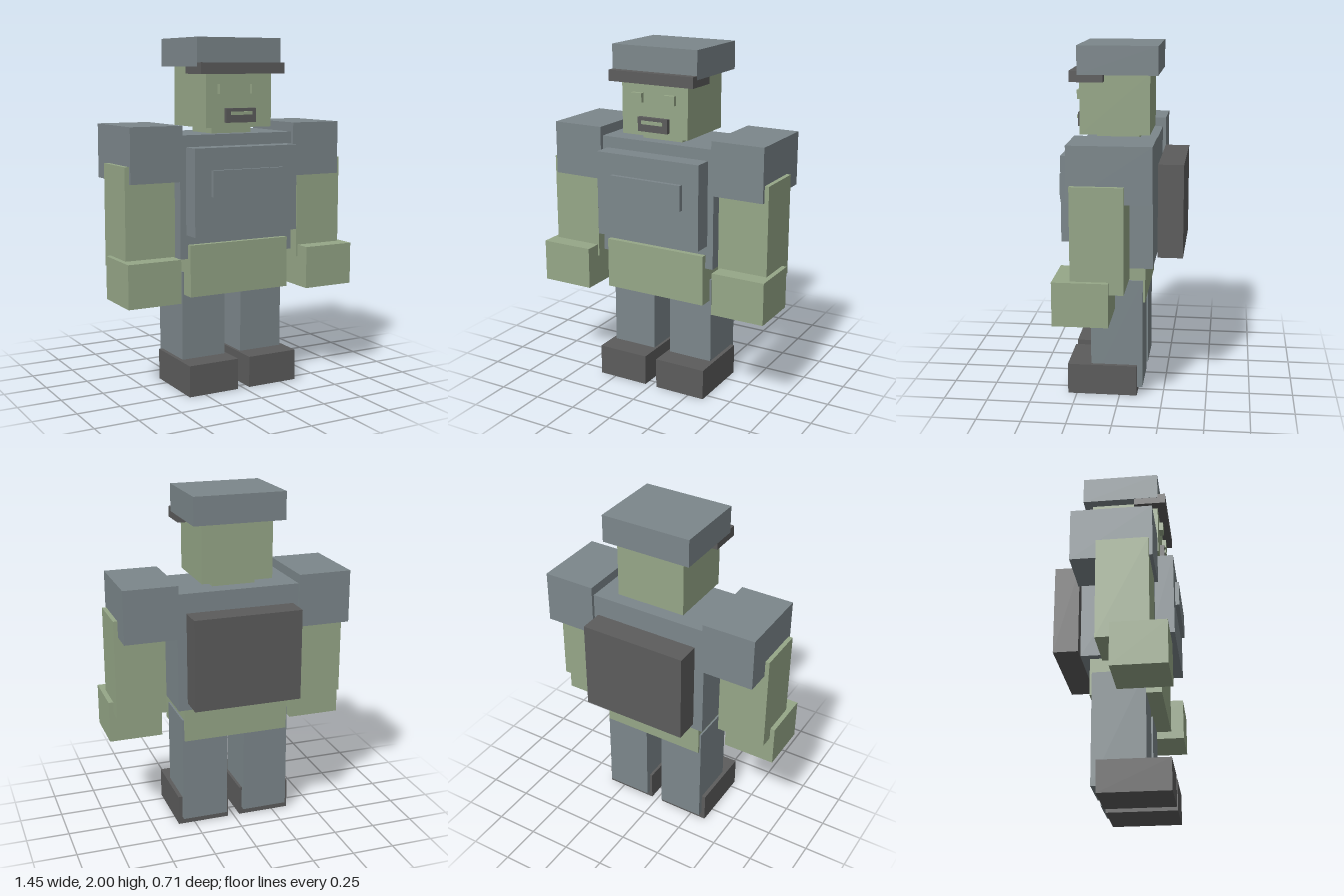
import * as THREE from 'three';

function material(name, color) {
  const m = new THREE.MeshStandardMaterial({ color });
  m.name = name;
  return m;
}

export function createModel() {
  const model = new THREE.Group();
  model.name = 'blockSoldier';

  const cloth = material('slateCloth', 0x7c878b);
  const skin = material('paleGreen', 0x96a788);
  const dark = material('charcoal', 0x5c5c5c);

  // Box given by its extents along each axis
  function block(name, mat, [x0, x1], [y0, y1], [z0, z1]) {
    const mesh = new THREE.Mesh(new THREE.BoxGeometry(x1 - x0, y1 - y0, z1 - z0), mat);
    mesh.position.set((x0 + x1) / 2, (y0 + y1) / 2, (z0 + z1) / 2);
    mesh.name = name;
    model.add(mesh);
  }

  // Box centred on x = 0
  const centred = (name, mat, halfWidth, y, z) => block(name, mat, [-halfWidth, halfWidth], y, z);

  // Mirrored pair of boxes
  function pair(name, mat, [x0, x1], y, z) {
    block('left' + name, mat, [x0, x1], y, z);
    block('right' + name, mat, [-x1, -x0], y, z);
  }

  // Head and cap
  centred('cap', cloth, 0.268, [1.84, 2], [-0.206, 0.243]);
  centred('visor', dark, 0.267, [1.8, 1.862], [0.1, 0.288]);
  centred('head', skin, 0.209, [1.502, 1.845], [-0.157, 0.238]);
  centred('neck', skin, 0.127, [1.42, 1.55], [-0.09, 0.15]);

  // Face
  pair('Eye', skin, [0.07, 0.137], [1.69, 1.743], [0.236, 0.263]);
  centred('mouth', dark, 0.094, [1.53, 1.61], [0.236, 0.264]);
  centred('teeth', skin, 0.067, [1.573, 1.592], [0.26, 0.273]);

  // Body
  centred('torso', cloth, 0.363, [0.775, 1.466], [-0.19, 0.222]);
  centred('chestPlate', cloth, 0.327, [0.91, 1.4], [0.2, 0.331]);
  centred('chestPocket', cloth, 0.225, [1.13, 1.277], [0.32, 0.354]);
  centred('pelvis', skin, 0.316, [0.56, 0.855], [-0.144, 0.253]);
  centred('backpack', dark, 0.316, [0.828, 1.36], [-0.355, -0.212]);

  // Arms
  pair('Shoulder', cloth, [0.358, 0.671], [1.212, 1.52], [-0.209, 0.245]);
  pair('Arm', skin, [0.399, 0.696], [0.725, 1.307], [-0.062, 0.226]);
  pair('Hand', skin, [0.409, 0.724], [0.55, 0.795], [0.018, 0.322]);

  // Legs
  pair('Leg', cloth, [0.053, 0.326], [0.045, 0.69], [-0.131, 0.167]);
  pair('Boot', dark, [0.037, 0.349], [0, 0.18], [-0.1, 0.301]);

  return model;
}
